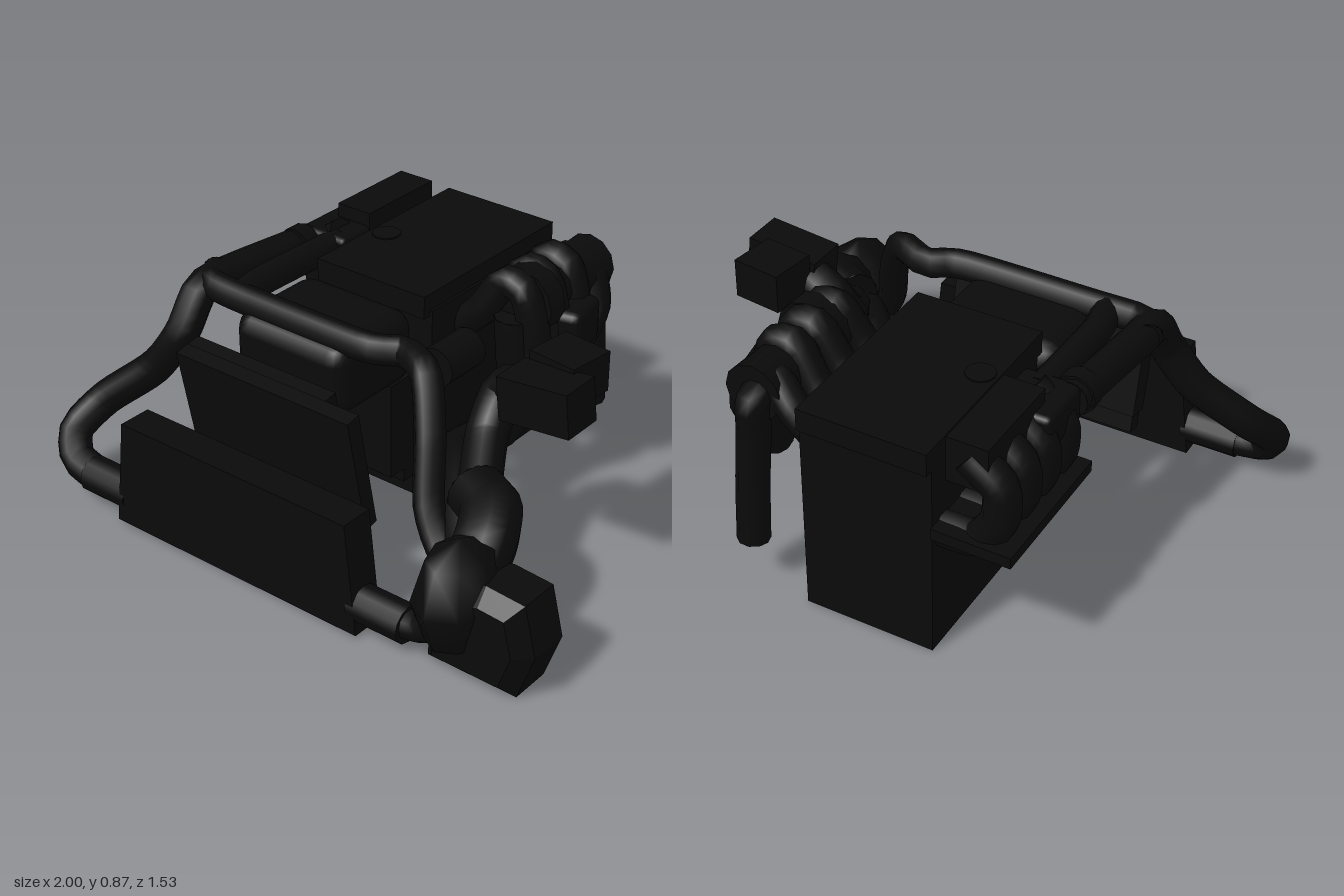
import * as THREE from 'three';
import { RoundedBoxGeometry } from 'three/addons/geometries/RoundedBoxGeometry.js';

export function createModel() {
  const model = new THREE.Group();
  const black = new THREE.MeshStandardMaterial({ color: 0x0a0a0a, side: THREE.DoubleSide });

  function add(name, geometry, x = 0, y = 0, z = 0) {
    const mesh = new THREE.Mesh(geometry, black);
    mesh.name = name;
    mesh.position.set(x, y, z);
    model.add(mesh);
    return mesh;
  }
  // Box given by its limits on each axis
  function box(name, [x0, x1], [y0, y1], [z0, z1], bevel = 0) {
    const size = [x1 - x0, y1 - y0, z1 - z0];
    const geometry = bevel ? new RoundedBoxGeometry(...size, 2, bevel) : new THREE.BoxGeometry(...size);
    return add(name, geometry, (x0 + x1) / 2, (y0 + y1) / 2, (z0 + z1) / 2);
  }
  // Pipe along a smooth path, closed by discs at both ends
  function pipe(name, radius, points) {
    const curve = new THREE.CatmullRomCurve3(points.map(p => new THREE.Vector3(...p)), false, 'catmullrom', 0.35);
    add(name, new THREE.TubeGeometry(curve, points.length * 4, radius, 10));
    for (const t of [0, 1]) {
      const cap = add(name + 'End', new THREE.CircleGeometry(radius, 10));
      cap.position.copy(curve.getPoint(t));
      cap.lookAt(cap.position.clone().addScaledVector(curve.getTangent(t), t ? 1 : -1));
    }
  }
  function cylinder(name, r0, r1, length, axis, x, y, z) {
    const mesh = add(name, new THREE.CylinderGeometry(r1, r0, length, 12), x, y, z);
    if (axis === 'x') mesh.rotation.z = -Math.PI / 2;
    if (axis === 'z') mesh.rotation.x = Math.PI / 2;
    return mesh;
  }
  // Outline in the front plane, given thickness along z
  function extrude(name, points, depth, z, bevel = 0) {
    const shape = new THREE.Shape(points.map(p => new THREE.Vector2(...p)));
    return add(name, new THREE.ExtrudeGeometry(shape, {
      depth, bevelEnabled: bevel > 0, bevelSize: bevel, bevelThickness: bevel, bevelOffset: -bevel, bevelSegments: 1,
    }), 0, 0, z);
  }

  // Engine block, head and front cover
  box('engineBlock', [-0.36, 0.1], [0.01, 0.74], [-0.72, -0.06]);
  box('valveCover', [-0.36, 0.09], [0.72, 0.8], [-0.75, -0.03]);
  cylinder('oilCap', 0.05, 0.05, 0.02, 'y', -0.3, 0.795, -0.32);
  box('timingCover', [-0.36, 0.04], [0.15, 0.5], [-0.08, 0.08]);
  box('frontCowl', [-0.42, 0.05], [0.48, 0.74], [-0.05, 0.34], 0.07);
  box('sump', [-0.3, 0.04], [0.1, 0.2], [-0.08, 0.01]);
  cylinder('crankPulley', 0.12, 0.12, 0.05, 'z', -0.16, 0.28, 0.055);
  cylinder('lowerPump', 0.1, 0.1, 0.14, 'z', -0.34, 0.26, 0.01);
  cylinder('alternator', 0.07, 0.07, 0.18, 'z', 0.16, 0.58, -0.09);

  // Intake plenum, its lower tray and four curved runners
  box('plenum', [-0.53, -0.39], [0.68, 0.84], [-0.69, -0.34]);
  box('plenumNeck', [-0.59, -0.39], [0.66, 0.79], [-0.42, -0.2], 0.02);
  box('intakeTray', [-0.63, -0.36], [0.47, 0.51], [-0.73, -0.2]);
  for (let i = 0; i < 4; i++) {
    const z = -0.65 + i * 0.125;
    pipe('intakeRunner', 0.06, [[-0.36, 0.46, z], [-0.48, 0.47, z], [-0.55, 0.57, z], [-0.55, 0.69, z], [-0.45, 0.77, z]]);
  }

  // Exhaust ports that arch up into the collector
  for (let i = 0; i < 4; i++) {
    const z = -0.64 + i * 0.135;
    const peak = i ? 0.82 : 0.77;
    pipe('exhaustRunner', 0.055, [[0.08, 0.62, z], [0.17, 0.7, z], [0.25, peak, z * 0.9 - 0.04],
      [0.33, peak - 0.02, z * 0.9 - 0.04], [0.37, 0.62, z * 0.85 - 0.06], [0.33, 0.43, z * 0.6 - 0.12]]);
  }
  cylinder('exhaustCollector', 0.1, 0.08, 0.44, 'z', 0.29, 0.74, -0.46);
  cylinder('collectorFlange', 0.12, 0.12, 0.08, 'z', 0.3, 0.75, -0.31);
  box('wastegate', [0.36, 0.46], [0.56, 0.72], [-0.53, -0.34], 0.03).rotation.y = 0.2;
  pipe('downPipe', 0.055, [[0.28, 0.75, -0.56], [0.28, 0.73, -0.69], [0.29, 0.6, -0.69], [0.3, 0.4, -0.7], [0.3, 0.19, -0.715]]);
  pipe('turboFeed', 0.07, [[0.3, 0.72, -0.24], [0.31, 0.45, -0.25], [0.31, 0.34, -0.18], [0.31, 0.36, 0.06],
    [0.4, 0.39, 0.19], [0.52, 0.36, 0.34], [0.66, 0.3, 0.48]]);

  // Intercooler with slanted ends and a stub pipe on each side
  extrude('intercooler', [[-0.64, 0.02], [0.39, 0.02], [0.35, 0.41], [-0.59, 0.41]], 0.12, 0.57);
  cylinder('intercoolerOutlet', 0.065, 0.065, 0.2, 'x', -0.71, 0.105, 0.63);
  cylinder('intercoolerInlet', 0.065, 0.065, 0.2, 'x', 0.45, 0.105, 0.63);
  pipe('turboOutlet', 0.05, [[0.5, 0.105, 0.63], [0.6, 0.12, 0.63], [0.68, 0.2, 0.62]]);

  // Tilted radiator behind the intercooler
  const radiator = new THREE.Group();
  radiator.name = 'radiator';
  radiator.position.set(0, 0.41, 0.43);
  radiator.rotation.x = 0.19;
  model.add(radiator);
  radiator.add(
    box('radiatorCore', [-0.51, 0.21], [-0.22, 0.22], [-0.025, 0.03]),
    box('radiatorShroud', [-0.54, 0.05], [-0.12, 0.19], [-0.1, -0.02]));

  // Charge pipe to the plenum, and the upper pipe crossing to the turbo
  pipe('chargePipe', 0.06, [[-0.8, 0.105, 0.63], [-0.9, 0.13, 0.62], [-0.94, 0.21, 0.575], [-0.88, 0.31, 0.48],
    [-0.72, 0.45, 0.4], [-0.62, 0.6, 0.36], [-0.61, 0.73, 0.27], [-0.6, 0.74, 0.12], [-0.56, 0.735, -0.22]]);
  pipe('crossPipe', 0.05, [[-0.63, 0.75, 0.17], [-0.58, 0.75, 0.25], [-0.4, 0.745, 0.26],
    [0.08, 0.745, 0.26], [0.2, 0.745, 0.21], [0.33, 0.74, 0.27], [0.41, 0.59, 0.35], [0.47, 0.4, 0.43],
    [0.55, 0.3, 0.47], [0.7, 0.26, 0.54]]);
  pipe('plenumPipe', 0.05, [[-0.46, 0.745, -0.25], [-0.47, 0.745, 0.12], [-0.45, 0.745, 0.25]]);
  cylinder('pipeCollar', 0.07, 0.07, 0.06, 'z', -0.56, 0.735, -0.17);

  // Turbocharger: faceted hub, wedge housing and upper elbow
  const hub = add('turboHub', new THREE.SphereGeometry(1, 8, 4), 0.71, 0.27, 0.59);
  hub.scale.set(0.13, 0.2, 0.175);
  extrude('turboHousing', [[0.61, 0.01], [0.94, 0.01], [1, 0.18], [0.96, 0.35], [0.82, 0.36], [0.62, 0.3]], 0.14, 0.47, 0.05);
  pipe('turboElbow', 0.1, [[0.56, 0.42, 0.31], [0.65, 0.42, 0.36], [0.7, 0.38, 0.45], [0.71, 0.28, 0.55]]);

  // Air box and its cover beside the engine, with their feed
  box('airBox', [0.52, 0.78], [0.61, 0.76], [0.01, 0.16]).rotation.z = 0.1;
  box('airBoxCover', [0.54, 0.72], [0.64, 0.78], [-0.15, 0.02]).rotation.y = -0.12;
  pipe('airFeed', 0.07, [[0.58, 0.67, 0.06], [0.46, 0.63, 0.03], [0.46, 0.51, 0.12], [0.55, 0.42, 0.28]]);

  return model;
}
